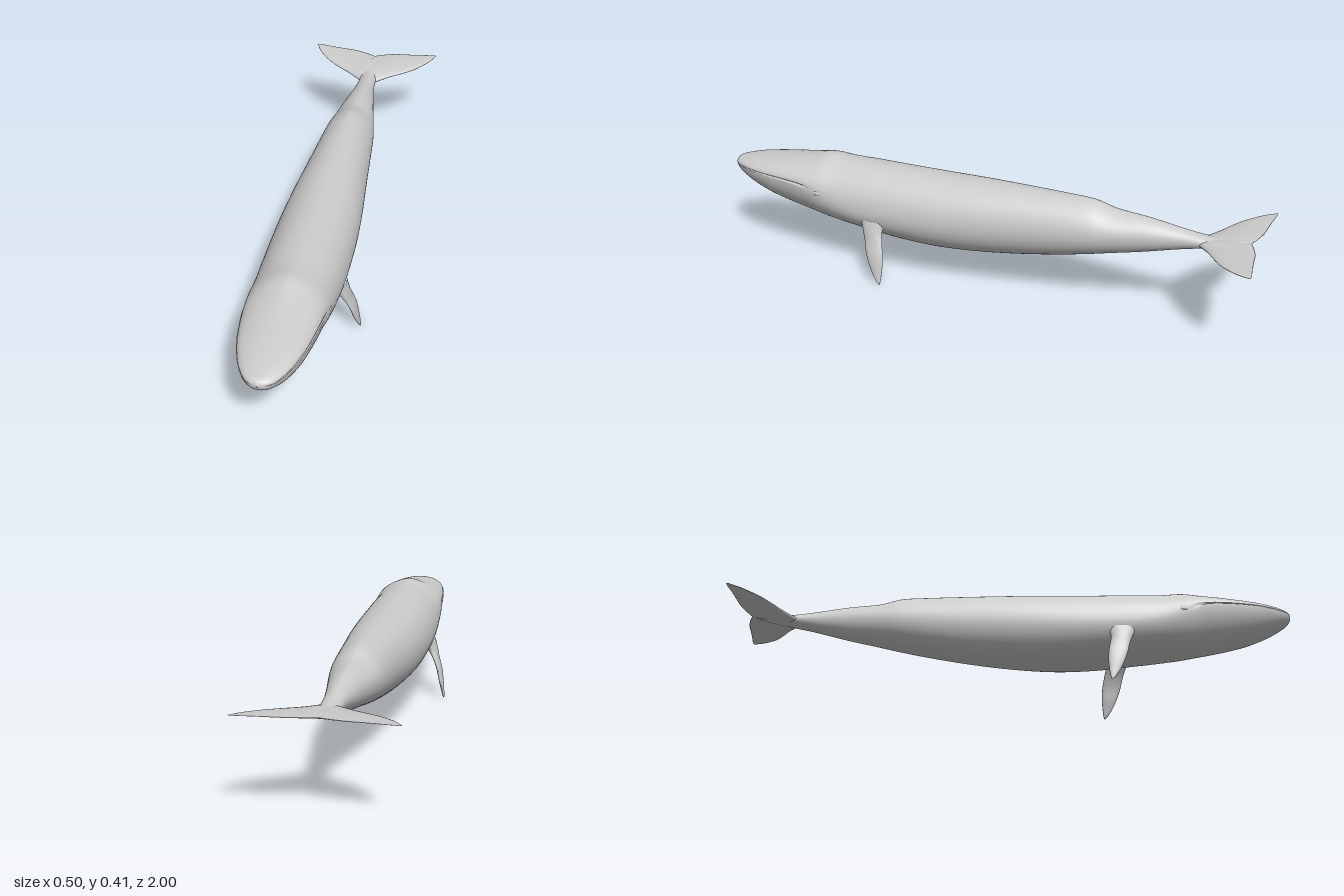
import * as THREE from 'three';

const material = new THREE.MeshStandardMaterial({ color: 0xcccccc, roughness: 0.8 });

// Skin a list of closed rings; each ring runs counter-clockwise about the direction of travel
function skin(rings) {
  const n = rings[0].length, pos = [], index = [];
  rings.forEach(r => r.forEach(p => pos.push(...p)));
  for (let i = 0; i < rings.length - 1; i++) {
    for (let j = 0; j < n; j++) {
      const k = (j + 1) % n;
      const a = i * n + j, b = i * n + k, c = a + n, d = b + n;
      index.push(a, b, c, b, d, c);
    }
  }
  const g = new THREE.BufferGeometry();
  g.setAttribute('position', new THREE.Float32BufferAttribute(pos, 3));
  g.setIndex(index);
  g.computeVertexNormals();
  return g;
}

// Smoothly resample rows of six numbers
function resample(rows, steps) {
  const curve = o => new THREE.CatmullRomCurve3(
    rows.map(r => new THREE.Vector3(r[o], r[o + 1], r[o + 2] ?? 0)), false, 'catmullrom', 0.5);
  const a = curve(0), b = curve(3), out = [];
  const count = (rows.length - 1) * steps;
  for (let i = 0; i <= count; i++) {
    out.push([...a.getPoint(i / count).toArray(), ...b.getPoint(i / count).toArray()]);
  }
  return out;
}

function named(name, geometry) {
  const mesh = new THREE.Mesh(geometry, material);
  mesh.name = name;
  return mesh;
}

// Body stations: z, top y, bottom y, half width, y of widest line, ridge sharpness of the back
const BODY = [
  [-0.955, 0.327, 0.325, 0.001, 0.326, 1],
  [-0.92, 0.331, 0.311, 0.012, 0.321, 1],
  [-0.86, 0.326, 0.296, 0.025, 0.312, 1],
  [-0.8, 0.328, 0.284, 0.032, 0.307, 1],
  [-0.72, 0.34, 0.265, 0.038, 0.304, 1.1],
  [-0.6, 0.359, 0.234, 0.058, 0.298, 1.2],
  [-0.49, 0.37, 0.21, 0.079, 0.292, 1.3],
  [-0.41, 0.392, 0.192, 0.092, 0.285, 1.3],
  [-0.3, 0.394, 0.169, 0.102, 0.278, 1.1],
  [-0.15, 0.395, 0.144, 0.115, 0.268, 1],
  [0, 0.396, 0.127, 0.129, 0.26, 1],
  [0.15, 0.395, 0.12, 0.139, 0.252, 1],
  [0.3, 0.396, 0.128, 0.142, 0.25, 1],
  [0.42, 0.398, 0.144, 0.141, 0.253, 1],
  [0.52, 0.4, 0.155, 0.137, 0.268, 1.1],
  [0.6, 0.407, 0.165, 0.134, 0.294, 1.3],
  [0.66, 0.394, 0.175, 0.128, 0.316, 1.3],
  [0.74, 0.379, 0.191, 0.12, 0.323, 1.2],
  [0.83, 0.365, 0.214, 0.106, 0.324, 1.1],
  [0.91, 0.353, 0.246, 0.083, 0.323, 1],
  [0.965, 0.342, 0.277, 0.055, 0.321, 1],
  [0.99, 0.334, 0.297, 0.03, 0.32, 1],
  [1, 0.321, 0.317, 0.001, 0.319, 1],
];

// Angles crowd toward the widest line, where the mouth groove runs
function bodyRing([z, top, bottom, w, mid, ridge]) {
  const quarter = 18, ring = [];
  const mouth = THREE.MathUtils.smoothstep(z, 0.61, 0.7);
  const point = (t, upper, side) => {
    const a = Math.PI / 2 * Math.pow(t, 1 + 0.5 * mouth);
    let x = w * Math.pow(Math.max(0, Math.cos(a)), upper ? ridge : 1);
    if (t === 0) x *= 1 - 0.07 * mouth;
    else if (!upper) x *= 1 + 0.025 * mouth * (1 - t);
    const y = mid + Math.sin(a) * (upper ? top - mid : bottom - mid);
    return [side * x, y, z];
  };
  for (let i = 0; i < quarter; i++) ring.push(point(i / quarter, true, 1));
  for (let i = quarter; i > 0; i--) ring.push(point(i / quarter, true, -1));
  for (let i = 0; i < quarter; i++) ring.push(point(i / quarter, false, -1));
  for (let i = quarter; i > 0; i--) ring.push(point(i / quarter, false, 1));
  return ring;
}

// Fluke stations from the centre out: x, leading z, trailing z, half thickness
const FLUKE = [
  [0, -0.78, -0.957, 0.012, 0, 0],
  [0.025, -0.785, -0.967, 0.013, 0, 0],
  [0.05, -0.805, -0.975, 0.011, 0, 0],
  [0.085, -0.832, -0.984, 0.009, 0, 0],
  [0.13, -0.86, -0.988, 0.007, 0, 0],
  [0.18, -0.898, -0.993, 0.005, 0, 0],
  [0.225, -0.95, -0.999, 0.003, 0, 0],
  [0.25, -0.994, -1, 0.0005, 0, 0],
];

function flukes() {
  const half = resample(FLUKE, 4);
  const rows = [...half.slice(1).reverse().map(r => [-r[0], ...r.slice(1)]), ...half];
  return skin(rows.map(([x, lead, trail, thick]) => {
    const ring = [];
    for (let j = 0; j < 24; j++) {
      const a = j / 24 * Math.PI * 2;
      const z = (lead + trail) / 2 + Math.sin(a) * (lead - trail) / 2;
      // thicker toward the leading edge, and pitched up toward the back
      const t = thick * (1 + 0.5 * Math.sin(a));
      ring.push([x, 0.333 - 0.14 * (z + 1) + Math.cos(a) * t, z]);
    }
    return ring;
  }));
}

// Flipper stations from shoulder to tip: y, x, half thickness, leading z, trailing z
const FLIPPER = [
  [0.225, 0.118, 0.024, 0.425, 0.325, 0],
  [0.185, 0.134, 0.019, 0.409, 0.334, 0],
  [0.15, 0.149, 0.012, 0.397, 0.328, 0],
  [0.11, 0.163, 0.01, 0.387, 0.321, 0],
  [0.07, 0.171, 0.009, 0.373, 0.319, 0],
  [0.035, 0.178, 0.006, 0.356, 0.321, 0],
  [0.01, 0.183, 0.004, 0.34, 0.324, 0],
  [0, 0.185, 0.0005, 0.331, 0.327, 0],
];

function flipper(side) {
  return skin(resample(FLIPPER, 4).map(([y, x, thick, lead, trail]) => {
    const ring = [];
    for (let j = 0; j < 20; j++) {
      const a = j / 20 * Math.PI * 2;
      ring.push([
        side * (x + Math.cos(a) * thick), y,
        (lead + trail) / 2 + side * Math.sin(a) * (lead - trail) / 2,
      ]);
    }
    return ring;
  }));
}

export function createModel() {
  const whale = new THREE.Group();
  whale.name = 'whale';
  whale.add(named('body', skin(resample(BODY, 5).map(bodyRing))));
  whale.add(named('tailFlukes', flukes()));
  for (const [side, label] of [[1, 'left'], [-1, 'right']]) {
    whale.add(named(label + 'Flipper', flipper(side)));
    // low eye swelling behind the corner of the mouth
    const eye = named(label + 'Eye', new THREE.SphereGeometry(1, 20, 14));
    eye.scale.set(0.008, 0.009, 0.018);
    eye.position.set(side * 0.129, 0.296, 0.595);
    whale.add(eye);
  }
  return whale;
}
